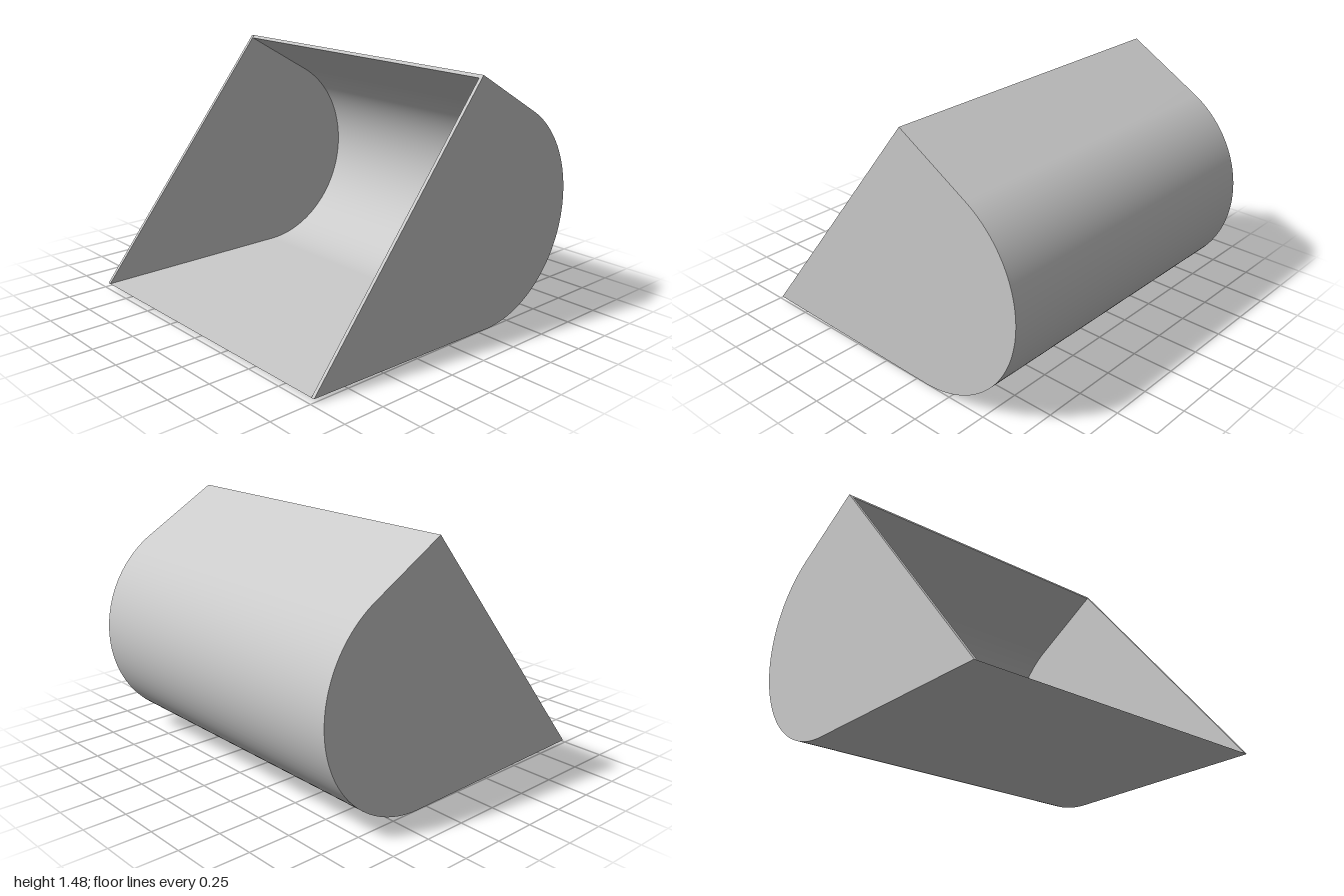
import * as THREE from 'three';
import { toCreasedNormals } from 'three/addons/utils/BufferGeometryUtils.js';

const WALL = 0.02; // sheet thickness
const R = 0.655; // outer radius of the curved back
const FRONT = 0.977; // z of the front lip
const CZ = R - FRONT; // z of the arc centre
const APEX = [-0.2, 1.482]; // top lip, as (z, y)
const START = -Math.PI / 2, END = Math.PI * 2 / 3; // the top sheet slopes at 30 degrees

// Extrudes a (z, y) profile across x, centred on the given x
function extrudeAcross(shape, width, x) {
  const geometry = new THREE.ExtrudeGeometry(shape, { depth: width, bevelEnabled: false, curveSegments: 48 });
  geometry.translate(0, 0, -width / 2).rotateY(-Math.PI / 2).translate(x, 0, 0);
  return toCreasedNormals(geometry, 0.4);
}

// Outer outline: floor, rounded back, sloping top up to the lip
function outerOutline() {
  const shape = new THREE.Shape();
  shape.moveTo(FRONT, 0);
  shape.absarc(CZ, R, R, START, END, true);
  shape.lineTo(...APEX);
  return shape;
}

export function createModel() {
  const group = new THREE.Group();
  group.name = 'bucket';
  const material = new THREE.MeshStandardMaterial({ color: 0xcccccc });
  const add = (name, geometry) => {
    const mesh = new THREE.Mesh(geometry, material);
    mesh.name = name;
    group.add(mesh);
  };

  // Bent sheet: floor, back and top in one piece
  const sheet = outerOutline();
  sheet.lineTo(APEX[0] - WALL * Math.cos(END), APEX[1] - WALL * Math.sin(END));
  sheet.absarc(CZ, R, R - WALL, END, START, false);
  sheet.lineTo(FRONT, WALL);
  sheet.closePath();
  add('curvedShell', extrudeAcross(sheet, 2 - 2 * WALL, 0));

  // Side plates closing both ends
  const plate = outerOutline();
  plate.lineTo(FRONT, WALL);
  plate.closePath();
  for (const [name, side] of [['leftSidePlate', 1], ['rightSidePlate', -1]]) {
    add(name, extrudeAcross(plate, WALL, side * (1 - WALL / 2)));
  }
  return group;
}
